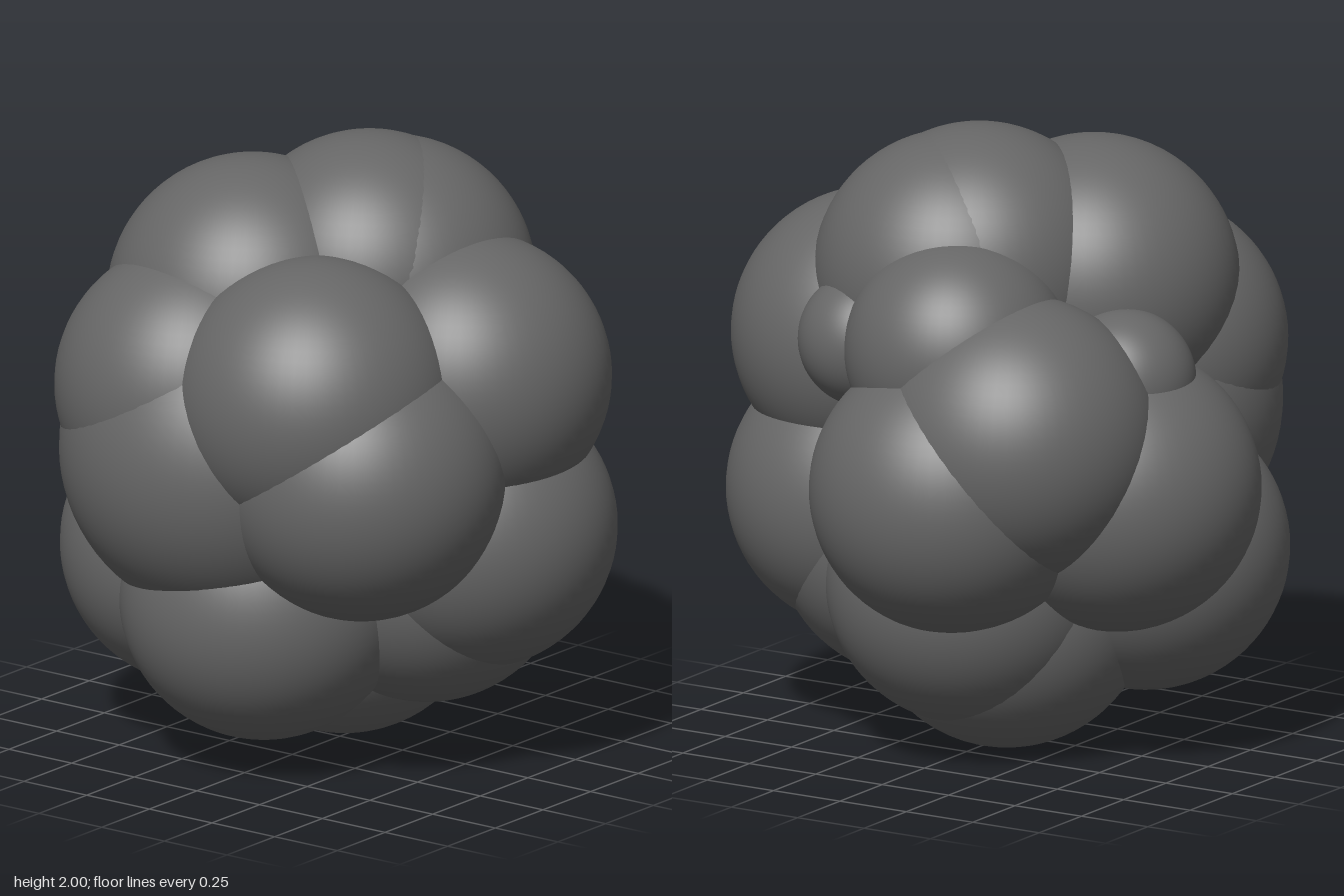
import * as THREE from 'three';

// Cluster of overlapping smooth balls: [name, x, y, z, radius]
const BALLS = [
  ['upperRightBall', -0.18, 1.475, 0.22, 0.465],
  ['frontUpperRightBall', -0.22, 1.24, 0.45, 0.46],
  ['frontUpperLeftBall', 0.24, 1.27, 0.45, 0.46],
  ['frontLeftBall', 0.39, 1.03, 0.4, 0.46],
  ['frontCentreBall', -0.12, 1.04, 0.4, 0.555],
  ['frontLowerBall', -0.03, 0.55, 0.36, 0.46],
  ['lowerRightBall', -0.38, 0.63, 0.21, 0.46],
  ['bottomBall', -0.05, 0.46, -0.09, 0.46],
  ['rightBall', -0.47, 0.9, -0.1, 0.46],
  ['upperLeftBall', 0.47, 1.275, -0.05, 0.46],
  ['leftBall', 0.47, 0.77, -0.08, 0.46],
  ['lowerLeftBall', 0.3, 0.635, -0.06, 0.46],
  ['topBall', 0.08, 1.54, -0.05, 0.46],
  ['topRearBall', 0.13, 1.52, -0.1, 0.46],
  ['backBall', -0.11, 0.93, -0.5, 0.46],
  ['backRightBall', -0.29, 1.1, -0.41, 0.46],
  ['backUpperBall', -0.06, 1.36, -0.4, 0.36],
  ['backLowerBall', 0, 0.56, -0.23, 0.46],
  ['smallBackBall', 0.28, 1.35, -0.4, 0.22],
  ['smallRightBall', -0.51, 1.26, -0.12, 0.23],
];

export function createModel() {
  const group = new THREE.Group();
  group.name = 'ballCluster';
  const grey = new THREE.MeshStandardMaterial({ color: 0x666666 });
  grey.name = 'dark grey';
  const geometry = new THREE.SphereGeometry(1, 64, 40);

  for (const [name, x, y, z, radius] of BALLS) {
    const ball = new THREE.Mesh(geometry, grey);
    ball.name = name;
    ball.position.set(x, y, z);
    ball.scale.setScalar(radius);
    group.add(ball);
  }
  return group;
}
